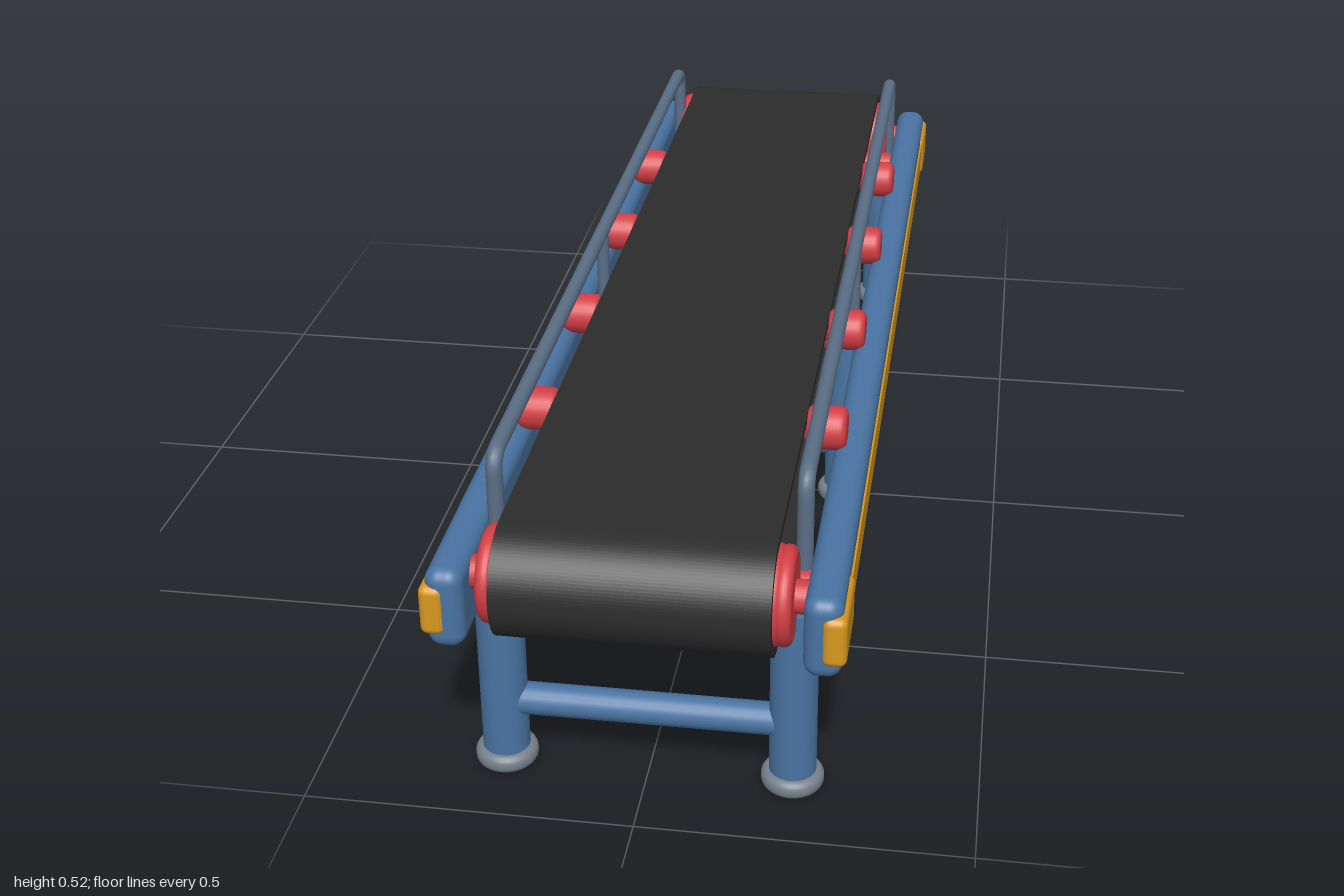
import * as THREE from 'three';
import { RoundedBoxGeometry } from 'three/addons/geometries/RoundedBoxGeometry.js';

const mat = (name, color) => {
  const m = new THREE.MeshStandardMaterial({ color });
  m.name = name;
  return m;
};

export function createModel() {
  const blue = mat('frame blue', 0x4a74a3);
  const steel = mat('steel grey', 0x76808b);
  const railGrey = mat('handrail blue grey', 0x5b6f87);
  const red = mat('roller red', 0xd23f45);
  const yellow = mat('trim yellow', 0xd8981f);
  const black = mat('belt black', 0x2c2c2c);

  const model = new THREE.Group();
  model.name = 'conveyorBelt';

  const add = (name, geometry, material, x = 0, y = 0, z = 0) => {
    const mesh = new THREE.Mesh(geometry, material);
    mesh.name = name;
    mesh.position.set(x, y, z);
    model.add(mesh);
    return mesh;
  };

  // Cylinder along y, centred, with rounded rims
  const roundedCylinder = (r, h, b, sides = 32) => {
    const pts = [new THREE.Vector2(0, -h / 2)];
    for (let i = 0; i <= 5; i++) {
      const a = (i / 5) * Math.PI / 2;
      pts.push(new THREE.Vector2(r - b + b * Math.sin(a), -h / 2 + b - b * Math.cos(a)));
    }
    for (let i = 0; i <= 5; i++) {
      const a = (i / 5) * Math.PI / 2;
      pts.push(new THREE.Vector2(r - b + b * Math.cos(a), h / 2 - b + b * Math.sin(a)));
    }
    pts.push(new THREE.Vector2(0, h / 2));
    return new THREE.LatheGeometry(pts, sides);
  };
  const acrossX = (geometry) => geometry.rotateZ(Math.PI / 2);

  // Belt: hollow stadium loop extruded across the width
  const axleY = 0.366, axleZ = 0.911, beltR = 0.089, beltT = 0.014, beltW = 0.4;
  const stadium = (path, r) => {
    path.moveTo(-axleZ, -r);
    path.lineTo(axleZ, -r);
    path.absarc(axleZ, 0, r, -Math.PI / 2, Math.PI / 2, false);
    path.lineTo(-axleZ, r);
    path.absarc(-axleZ, 0, r, Math.PI / 2, Math.PI * 1.5, false);
    return path;
  };
  const loop = stadium(new THREE.Shape(), beltR);
  loop.holes.push(stadium(new THREE.Path(), beltR - beltT));
  const beltGeo = new THREE.ExtrudeGeometry(loop, { depth: beltW, bevelEnabled: false, curveSegments: 28 });
  beltGeo.translate(0, 0, -beltW / 2).rotateY(Math.PI / 2);
  add('belt', beltGeo, black, 0, axleY, 0);

  // End drums with projecting rims and axles
  for (const z of [-axleZ, axleZ]) {
    add('drum', acrossX(roundedCylinder(0.074, 0.42, 0.012)), red, 0, axleY, z);
    for (const s of [-1, 1]) {
      add('drumRim', acrossX(roundedCylinder(0.073, 0.026, 0.012)), red, s * 0.212, axleY, z);
    }
    add('drumAxle', acrossX(new THREE.CylinderGeometry(0.025, 0.025, 0.5, 20)), red, 0, axleY, z);
  }

  // Carrying rollers: exposed ends on a shaft below the upper run
  for (const z of [0.52, 0.17, -0.19, -0.52]) {
    add('rollerShaft', acrossX(new THREE.CylinderGeometry(0.018, 0.018, 0.42, 16)), red, 0, 0.42, z);
    for (const s of [-1, 1]) {
      add('rollerEnd', acrossX(roundedCylinder(0.035, 0.064, 0.012, 24)), red, s * 0.23, 0.424, z);
    }
  }

  // Return rollers resting on the lower run
  for (const z of [0.83, 0, -0.83]) {
    add('returnRoller', acrossX(roundedCylinder(0.028, 0.49, 0.008, 20)), red, 0, 0.33, z);
  }

  // Handrail: hoop with rounded corners
  const railPath = () => {
    const p = (y, z) => new THREE.Vector3(0, y, z);
    const top = 0.507, low = 0.34, front = 0.82, back = -0.87, c = 0.03;
    const path = new THREE.CurvePath();
    path.add(new THREE.LineCurve3(p(low, front), p(top - c, front)));
    path.add(new THREE.QuadraticBezierCurve3(p(top - c, front), p(top, front), p(top, front - c)));
    path.add(new THREE.LineCurve3(p(top, front - c), p(top, back + c)));
    path.add(new THREE.QuadraticBezierCurve3(p(top, back + c), p(top, back), p(top - c, back)));
    path.add(new THREE.LineCurve3(p(top - c, back), p(low, back)));
    return path;
  };
  const handrailGeo = new THREE.TubeGeometry(railPath(), 400, 0.0125, 14);

  for (const s of [-1, 1]) {
    // Side beam with yellow strip and end caps
    add('sideBeam', new RoundedBoxGeometry(0.056, 0.13, 1.97, 5, 0.022), blue, s * 0.27, 0.34, 0);
    add('sideStrip', new THREE.BoxGeometry(0.008, 0.058, 1.74), yellow, s * 0.297, 0.342, 0);
    for (const e of [-1, 1]) {
      add('endCap', new RoundedBoxGeometry(0.036, 0.08, 0.13, 4, 0.012), yellow, s * 0.287, 0.341, e * 0.925);
    }

    add('handrail', handrailGeo, railGrey, s * 0.228, 0, 0);
    add('handrailPost', new THREE.CylinderGeometry(0.011, 0.011, 0.167, 14), railGrey, s * 0.228, 0.4235, 0);
  }

  // Legs, feet and crossbars
  for (const z of [0.865, 0.01, -0.86]) {
    for (const s of [-1, 1]) {
      add('leg', new THREE.CylinderGeometry(0.036, 0.036, 0.3, 28), blue, s * 0.22, 0.17, z);
      add('foot', roundedCylinder(0.048, 0.03, 0.013, 28), steel, s * 0.22, 0.015, z);
    }
    add('crossbar', acrossX(new THREE.CylinderGeometry(0.025, 0.025, 0.4, 20)), blue, 0, 0.115, z);
  }

  return model;
}
